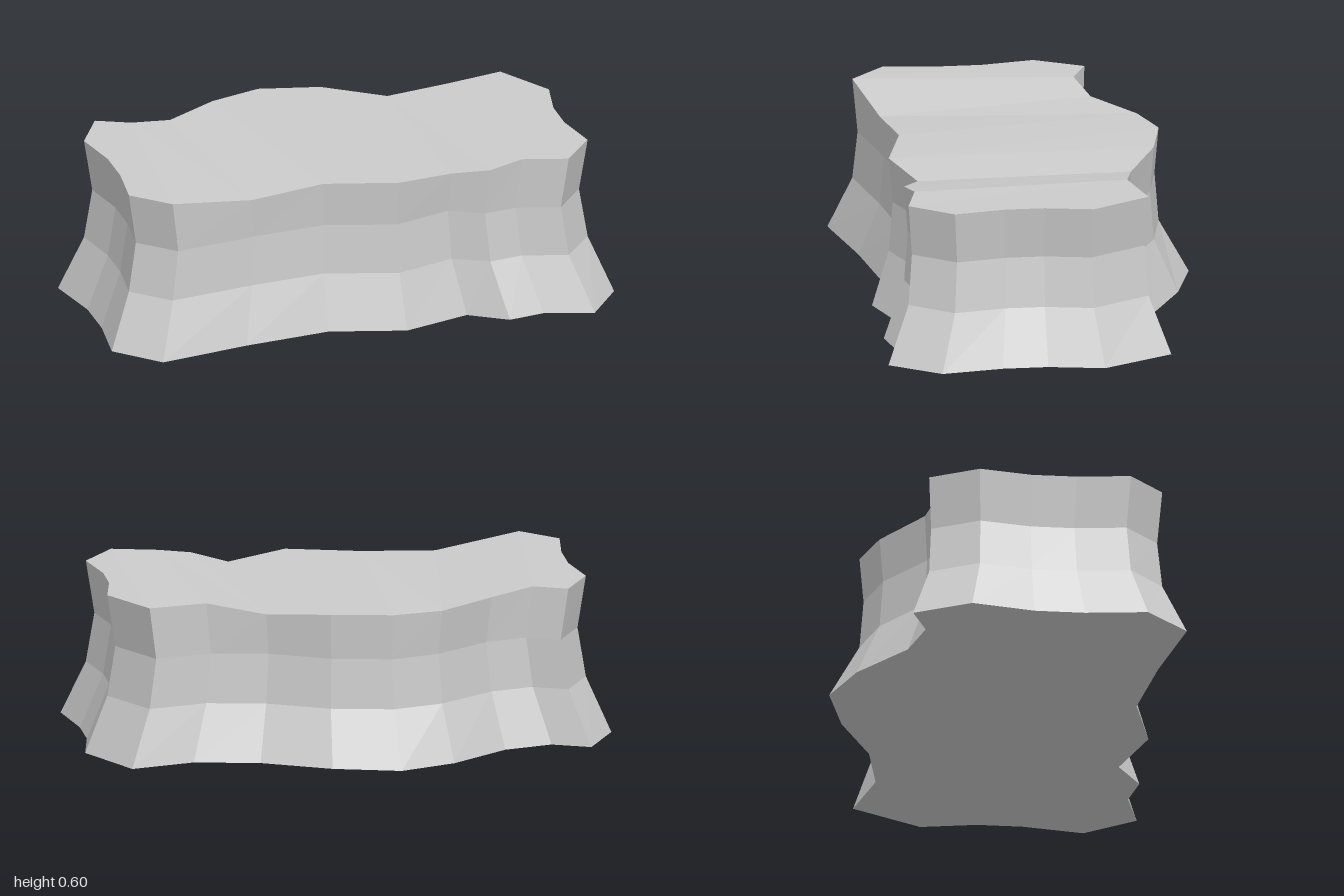
import * as THREE from 'three';

// Outlines as [x, z], running left -> back -> right -> front
const BASE = [
  [-1, -0.21], [-0.885, -0.42], [-0.745, -0.355], [-0.56, -0.4], [-0.335, -0.565],
  [-0.12, -0.643], [0.13, -0.565], [0.38, -0.43], [0.625, -0.375], [0.87, -0.43],
  [1, -0.16], [0.955, 0.05], [0.95, 0.22], [0.98, 0.455], [0.845, 0.64],
  [0.66, 0.585], [0.52, 0.61], [0.38, 0.515], [0.12, 0.595], [-0.165, 0.515],
  [-0.5, 0.555], [-0.85, 0.62], [-1, 0.455], [-0.965, 0.22], [-0.96, 0.03],
];
const RIM = [
  [-0.91, -0.17], [-0.81, -0.35], [-0.685, -0.29], [-0.52, -0.33], [-0.305, -0.475],
  [-0.11, -0.527], [0.12, -0.475], [0.345, -0.355], [0.565, -0.308], [0.79, -0.355],
  [0.91, -0.13], [0.87, 0.05], [0.865, 0.2], [0.895, 0.395], [0.77, 0.553],
  [0.6, 0.505], [0.47, 0.525], [0.34, 0.455], [0.11, 0.53], [-0.165, 0.45],
  [-0.455, 0.48], [-0.785, 0.535], [-0.915, 0.4], [-0.885, 0.2], [-0.88, 0.03],
];

// The top sags gently between the two ends: [x, height]
const SAG = [[-1, 0.6], [-0.6, 0.6], [-0.455, 0.555], [-0.3, 0.57], [-0.1, 0.575],
  [0.11, 0.575], [0.34, 0.555], [0.58, 0.6], [1, 0.6]];

// Strips of rim corners that divide the top surface
const TOP_STRIPS = [
  [21, 22, 23, 24, 0, 1], [1, 2, 21], [2, 3, 20, 21], [3, 4, 20], [4, 5, 19, 20],
  [5, 6, 18, 19], [6, 7, 17, 18], [7, 8, 15, 16, 17], [8, 9, 14, 15],
  [9, 10, 11, 12, 13, 14],
];

function topHeight(x) {
  const i = Math.max(1, SAG.findIndex(([sx]) => x <= sx));
  const [x0, y0] = SAG[i - 1], [x1, y1] = SAG[i];
  return y0 + (y1 - y0) * (x - x0) / (x1 - x0);
}

const ring = (outline, y, sx = 1, sz = 1) =>
  outline.map(([x, z]) => [x * sx, typeof y === 'function' ? y(x) : y, z * sz]);

// Fill a polygon of points, facing up (1) or down (-1)
function fill(out, points, facing) {
  const flat = points.map(([x, , z]) => new THREE.Vector2(x, z));
  for (const tri of THREE.ShapeUtils.triangulateShape(flat, [])) {
    const [a, b, c] = tri.map((i) => points[i]);
    const up = (b[2] - a[2]) * (c[0] - a[0]) - (b[0] - a[0]) * (c[2] - a[2]);
    if (up * facing > 0) out.push(...a, ...b, ...c);
    else out.push(...a, ...c, ...b);
  }
}

function meshOf(name, positions, material) {
  const geometry = new THREE.BufferGeometry();
  geometry.setAttribute('position', new THREE.Float32BufferAttribute(positions, 3));
  geometry.computeVertexNormals();
  const mesh = new THREE.Mesh(geometry, material);
  mesh.name = name;
  return mesh;
}

export function createModel() {
  const group = new THREE.Group();
  group.name = 'rockPlatform';
  const material = new THREE.MeshStandardMaterial({ color: 0xcccccc, flatShading: true });

  // Flared foot, pinched waist and rim
  const rings = [
    ring(BASE, 0),
    ring(RIM, 0.21),
    ring(RIM, 0.4, 0.966, 0.97),
    ring(RIM, topHeight),
  ];

  // Cliff walls
  const walls = [];
  for (let r = 0; r < rings.length - 1; r++) {
    const low = rings[r], high = rings[r + 1];
    for (let i = 0; i < low.length; i++) {
      const j = (i + 1) % low.length;
      walls.push(...low[i], ...high[i], ...low[j], ...high[i], ...high[j], ...low[j]);
    }
  }

  // Sagging top and flat underside
  const top = [];
  for (const strip of TOP_STRIPS) fill(top, strip.map((i) => rings[3][i]), 1);
  const underside = [];
  fill(underside, rings[0], -1);

  group.add(
    meshOf('cliffWalls', walls, material),
    meshOf('topSurface', top, material),
    meshOf('underside', underside, material),
  );
  return group;
}
